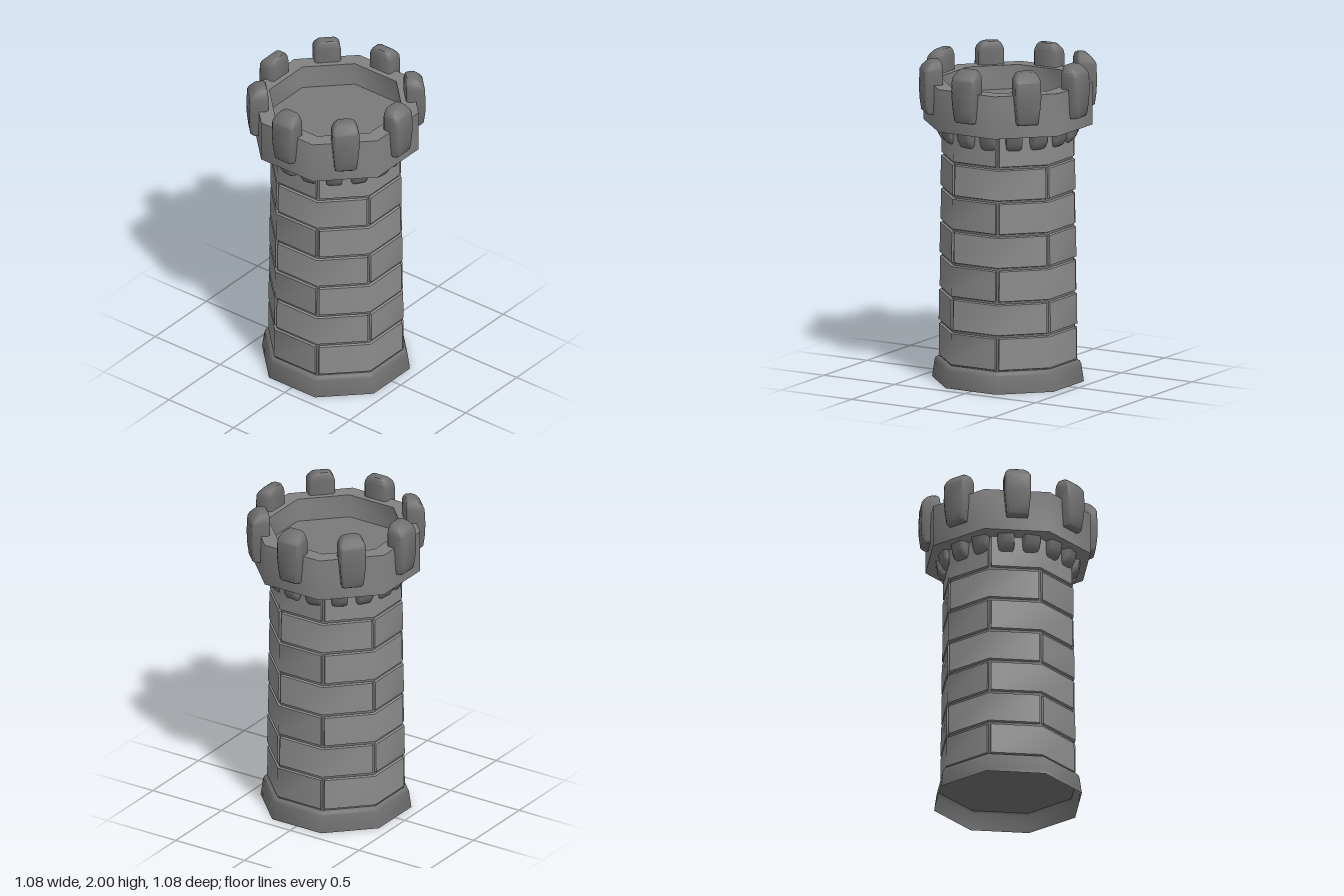
import * as THREE from 'three';
import { toCreasedNormals } from 'three/addons/utils/BufferGeometryUtils.js';

const SIDES = 8;
const STEP = (Math.PI * 2) / SIDES;
const TO_CORNER = 1 / Math.cos(STEP / 2); // flat distance -> corner distance
const CREASE = 0.82;

const brickStone = new THREE.MeshStandardMaterial({ color: 0x8b8b8b });
const crownStone = new THREE.MeshStandardMaterial({ color: 0x828282 });
const floorStone = new THREE.MeshStandardMaterial({ color: 0x797979 });
const darkStone = new THREE.MeshStandardMaterial({ color: 0x707070 });
const footStone = new THREE.MeshStandardMaterial({ color: 0x707070, side: THREE.DoubleSide });

function addMesh(parent, name, geometry, material) {
  const mesh = new THREE.Mesh(geometry, material);
  mesh.name = name;
  parent.add(mesh);
  return mesh;
}

// Octagonal ring from [flat distance, height] pairs, flats facing the axes
function octagon(profile) {
  const points = profile.map(([d, y]) => new THREE.Vector2(d * TO_CORNER, y));
  return toCreasedNormals(new THREE.LatheGeometry(points, SIDES, STEP / 2), CREASE);
}

// Skin over rows of points: rows go upwards, columns run left to right from outside
function skin(rows) {
  const out = [];
  const tri = (a, b, c) => {
    if (!a.equals(b) && !b.equals(c) && !c.equals(a)) for (const p of [a, b, c]) out.push(p.x, p.y, p.z);
  };
  for (let i = 0; i < rows.length - 1; i++) {
    for (let j = 0; j < rows[i].length - 1; j++) {
      const [a, b, c, d] = [rows[i][j], rows[i][j + 1], rows[i + 1][j + 1], rows[i + 1][j]];
      tri(a, b, c);
      tri(a, c, d);
    }
  }
  const geometry = new THREE.BufferGeometry();
  geometry.setAttribute('position', new THREE.Float32BufferAttribute(out, 3));
  return toCreasedNormals(geometry, CREASE);
}

// Closed stone block from [height, half width, inner z, outer z, corner cut] sections
function block(sections) {
  const loops = sections.map(([y, w, z0, z1, c]) => {
    const loop = [
      [-w + c, z1], [w - c, z1], [w, z1 - c], [w, z0 + c],
      [w - c, z0], [-w + c, z0], [-w, z0 + c], [-w, z1 - c], [-w + c, z1],
    ];
    return loop.map(([x, z]) => new THREE.Vector3(x, y, z));
  });
  const cap = ([y, , z0, z1], n) => Array.from({ length: n }, () => new THREE.Vector3(0, y, (z0 + z1) / 2));
  const n = loops[0].length;
  return skin([cap(sections[0], n), ...loops, cap(sections[sections.length - 1], n)]);
}

// Tapering wall: distance of the brick faces from the axis
const wallAt = (y) => 0.397 - 0.0125 * y;

// Brick that bends around one corner and covers two sides
function brick(y0, y1) {
  const bevel = 0.008, depth = 0.02, gap = 0.015;
  const corner = (k, d) => new THREE.Vector2(
    Math.sin((k + 0.5) * STEP), Math.cos((k + 0.5) * STEP)).multiplyScalar(d * TO_CORNER);
  const columns = [[gap, 1], [gap + 0.025, 0], [1, 0], [2 - gap - 0.025, 0], [2 - gap, 1]];
  const levels = [[y0, 1], [y0 + bevel, 0], [y1 - bevel, 0], [y1, 1]];
  return skin(levels.map(([y, sunkY]) => columns.map(([u, sunkU]) => {
    const d = wallAt(y) - (sunkY || sunkU ? depth : 0);
    const k = Math.min(Math.floor(u), 1);
    const p = corner(k, d).lerp(corner(k + 1, d), u - k);
    return new THREE.Vector3(p.x, y, p.y);
  })));
}

export function createModel() {
  const tower = new THREE.Group();
  tower.name = 'tower';

  // Hollow flared foot, open underneath
  addMesh(tower, 'base', octagon([[0.43, 0], [0.426, 0.03], [0.416, 0.105], [0.408, 0.125], [0.39, 0.133]]), footStone);

  // Core behind the mortar gaps, closing the foot from above
  addMesh(tower, 'core', octagon([
    [0, 0.12], [0.406, 0.12], [wallAt(0.13) - 0.013, 0.128], [wallAt(1.6) - 0.013, 1.6],
  ]), darkStone);

  // Courses of four bricks, the joints shifting by one side each row
  const courses = new THREE.Group();
  courses.name = 'brickCourses';
  tower.add(courses);
  const joints = [0.13, 0.345, 0.553, 0.761, 0.969, 1.177, 1.385, 1.605];
  for (let row = 0; row < joints.length - 1; row++) {
    const geometry = brick(joints[row] + 0.004, joints[row + 1] - 0.004);
    for (let i = 0; i < 4; i++) {
      addMesh(courses, 'brick', geometry, brickStone).rotation.y = i * 2 * STEP + (row % 2) * STEP;
    }
  }

  // Crown wall and the sunken platform inside it
  addMesh(tower, 'parapet', octagon([
    [0.35, 1.594], [0.48, 1.594], [0.48, 1.858], [0.387, 1.858], [0.387, 1.71],
  ]), crownStone);
  addMesh(tower, 'platform', octagon([[0.387, 1.71], [0, 1.71]]), floorStone);

  // Rounded stones standing on the rim
  const merlon = block([
    [1.676, 0.062, 0.432, 0.515, 0.012],
    [1.688, 0.067, 0.425, 0.528, 0.014],
    [1.76, 0.074, 0.42, 0.537, 0.014],
    [1.84, 0.081, 0.42, 0.539, 0.014],
    [1.94, 0.081, 0.42, 0.534, 0.014],
    [1.962, 0.076, 0.421, 0.523, 0.014],
    [1.99, 0.06, 0.424, 0.498, 0.013],
    [2.0, 0.048, 0.43, 0.482, 0.012],
  ]);
  for (let i = 0; i < SIDES; i++) addMesh(tower, 'merlon', merlon, darkStone).rotation.y = i * STEP;

  // Small supports under the crown
  const corbel = block([
    [1.495, 0.034, 0.34, 0.393, 0.008],
    [1.506, 0.045, 0.34, 0.41, 0.012],
    [1.54, 0.05, 0.34, 0.428, 0.012],
    [1.6, 0.051, 0.34, 0.438, 0.012],
  ]);
  for (let i = 0; i < 16; i++) {
    addMesh(tower, 'corbel', corbel, darkStone).rotation.y = (i * Math.PI) / 8 - 0.145;
  }

  return tower;
}
